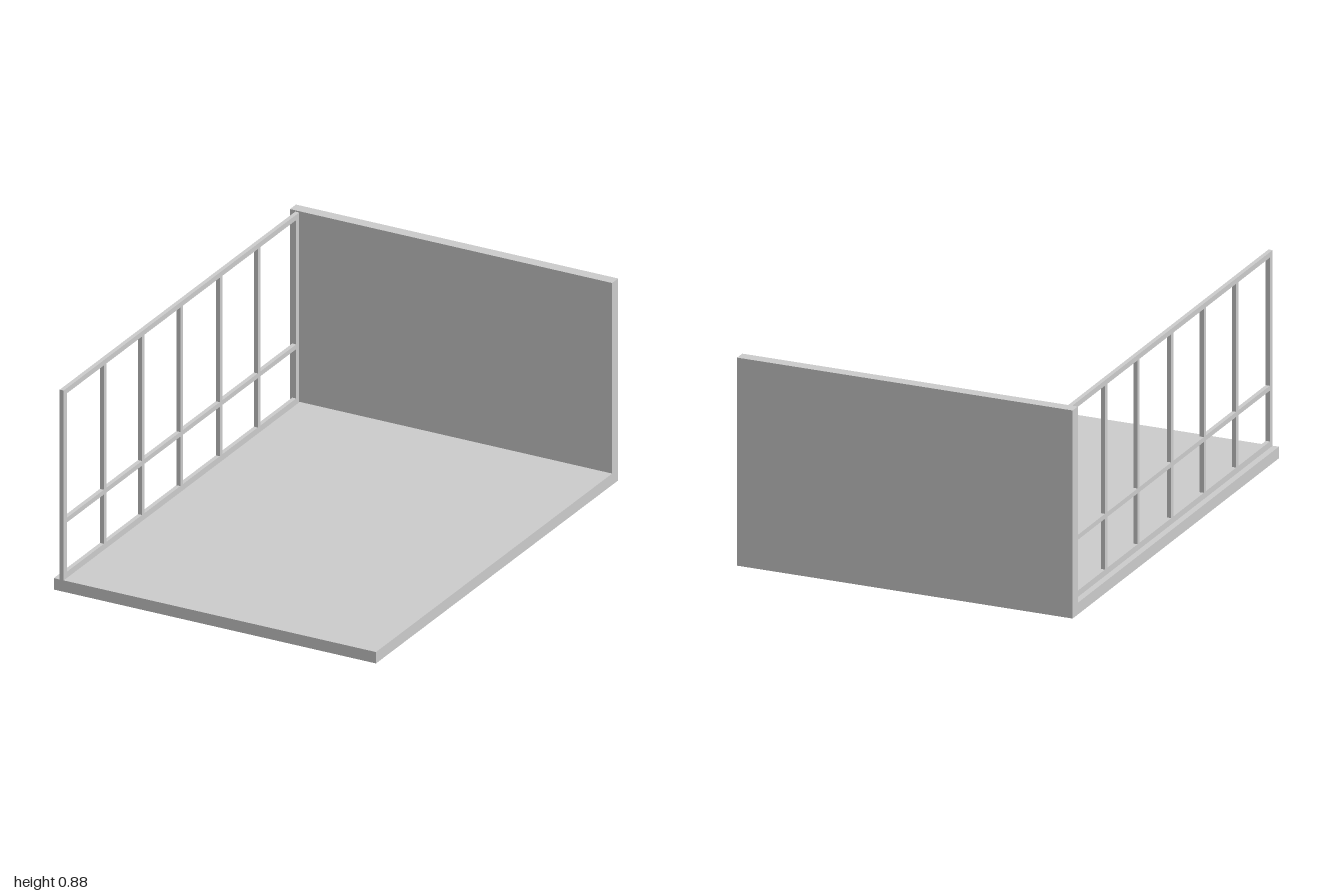
import * as THREE from 'three';

const material = new THREE.MeshStandardMaterial({ color: 0xcccccc });

// Box given by its lower and upper corners
function box(name, [x0, y0, z0], [x1, y1, z1]) {
  const geometry = new THREE.BoxGeometry(x1 - x0, y1 - y0, z1 - z0);
  geometry.translate((x0 + x1) / 2, (y0 + y1) / 2, (z0 + z1) / 2);
  const mesh = new THREE.Mesh(geometry, material);
  mesh.name = name;
  return mesh;
}

// Closed rectangle, drawn as z across and y up
function rectangle(path, z0, y0, z1, y1) {
  path.moveTo(z0, y0);
  path.lineTo(z1, y0);
  path.lineTo(z1, y1);
  path.lineTo(z0, y1);
  path.closePath();
  return path;
}

// Glazing frame: one panel with two rows of pane openings
function windowFrame() {
  const shape = rectangle(new THREE.Shape(), -0.945, 0.05, 1, 0.882);
  const panes = [[-0.92, -0.626], [-0.603, -0.31], [-0.289, 0.016],
    [0.037, 0.332], [0.353, 0.647], [0.668, 0.973]];
  const rows = [[0.077, 0.293], [0.314, 0.859]];
  for (const [z0, z1] of panes) {
    for (const [y0, y1] of rows) {
      shape.holes.push(rectangle(new THREE.Path(), z0, y0, z1, y1));
    }
  }
  const geometry = new THREE.ExtrudeGeometry(shape, { depth: 0.018, bevelEnabled: false });
  geometry.rotateY(-Math.PI / 2);
  geometry.translate(-0.688, 0, 0);
  const mesh = new THREE.Mesh(geometry, material);
  mesh.name = 'windowFrame';
  return mesh;
}

export function createModel() {
  const group = new THREE.Group();
  group.name = 'roomCorner';
  group.add(
    box('floor', [-0.733, 0, -0.95], [0.733, 0.05, 1]),
    box('backWall', [-0.733, 0, -1], [0.733, 0.885, -0.95]),
    windowFrame(),
  );
  return group;
}
